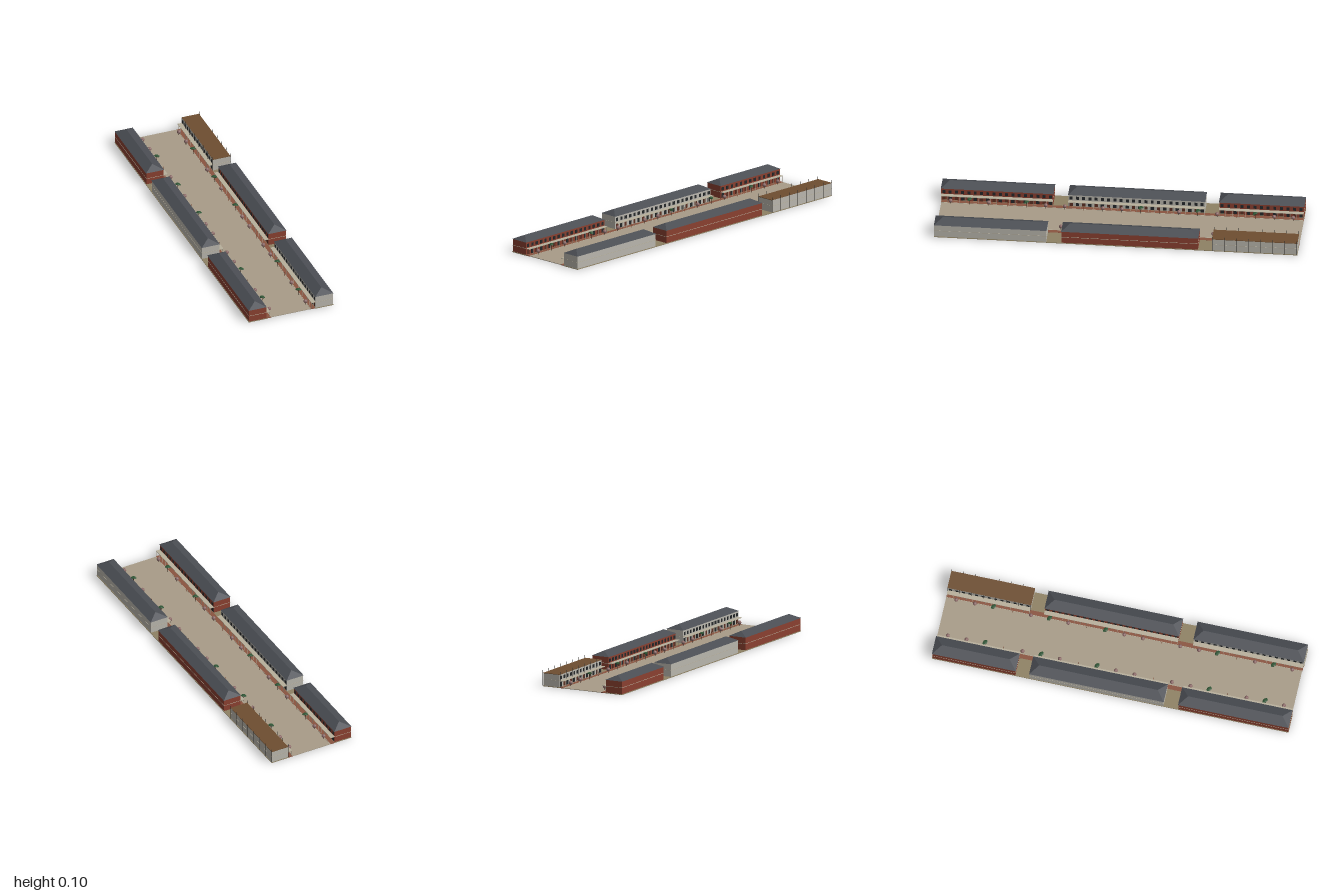
import * as THREE from 'three';

const mat = (color, flatShading = false) =>
  new THREE.MeshStandardMaterial({ color, flatShading, side: THREE.DoubleSide });
const M = {
  brick: mat(0x8a4030), stucco: mat(0xb9b6ad), slate: mat(0x4a4d53, true), deck: mat(0x6e4e31),
  road: mat(0xa89c88), lot: mat(0x8f8264), paving: mat(0x8a5440), trim: mat(0xb8b09c),
  dark: mat(0x25282a), door: mat(0x5c3023), pole: mat(0x3c3a36), bark: mat(0x3d2a1e),
  blossom: mat(0x8c6a68, true), leaf: mat(0x2f5535, true), sapling: mat(0x8a5038)
};
const STEP = 0.035;         // facade bay
const CX = 0.1958;          // building centre line
const HALF = 0.0505, EAVE = 0.0535;
const GROUND = 0.004, FLOOR = 0.04, TOP = 0.075, RIDGE = 0.1;

// Box given by its limits
function box(parent, name, material, x0, x1, y0, y1, z0, z1) {
  const m = new THREE.Mesh(new THREE.BoxGeometry(x1 - x0, y1 - y0, z1 - z0), material);
  m.position.set((x0 + x1) / 2, (y0 + y1) / 2, (z0 + z1) / 2);
  m.name = name;
  parent.add(m);
  return m;
}

function post(parent, name, material, x, z, y0, y1, r) {
  const m = new THREE.Mesh(new THREE.CylinderGeometry(r, r, y1 - y0, 6), material);
  m.position.set(x, (y0 + y1) / 2, z);
  m.name = name;
  parent.add(m);
}

// Hipped roof: a box whose top corners are pulled in to a ridge
function hipRoof(parent, z0, z1) {
  const g = new THREE.BoxGeometry(2 * EAVE, RIDGE - TOP, z1 - z0);
  const p = g.attributes.position;
  for (let i = 0; i < p.count; i++) {
    if (p.getY(i) > 0) {
      p.setX(i, 0);
      p.setZ(i, p.getZ(i) - Math.sign(p.getZ(i)) * 0.045);
    }
  }
  g.computeVertexNormals();
  const m = new THREE.Mesh(g, M.slate);
  m.position.set(CX, (TOP + RIDGE) / 2, (z0 + z1) / 2);
  m.name = 'hipRoof';
  parent.add(m);
}

// Terrace on the +x side, street facade towards x = 0; s mirrors it
function terrace(s, z0, z1, wall, unfinished) {
  const g = new THREE.Group();
  g.name = unfinished ? 'unfinishedTerrace' : 'terrace';
  const inner = CX - HALF, outer = CX + HALF, e = 0.002;
  box(g, 'walls', wall, inner, outer, GROUND, TOP, z0 + e, z1 - e);
  box(g, 'stringCourse', M.trim, inner - 0.001, outer + 0.001, FLOOR - 0.001, FLOOR + 0.001, z0 + 0.001, z1 - 0.001);

  // Arcade canopy with slender posts
  box(g, 'canopy', M.trim, 0.121, inner, FLOOR - 0.0015, FLOOR + 0.001, z0 + e, z1 - e);
  const n = Math.round((z1 - z0) / STEP), d = (z1 - z0) / n;
  for (let i = 0; i < n; i++) {
    const z = z0 + (i + 0.5) * d;
    box(g, 'window', M.dark, inner - 0.0018, inner, 0.047, 0.065, z - 0.008, z + 0.008);
    box(g, 'door', i % 2 ? M.door : M.dark, inner - 0.0015, inner, 0.006, 0.031, z - 0.009, z + 0.009);
  }
  for (let i = 0; i <= n; i++) {
    const z = z0 + 0.004 + i * (z1 - z0 - 0.008) / n;
    post(g, 'canopyPost', M.trim, 0.124, z, GROUND, FLOOR, 0.0009);
  }

  if (unfinished) {
    box(g, 'openDeck', M.deck, inner, outer + 0.001, TOP - 0.002, TOP + 0.0005, z0, z1);
    // Scaffold along both long sides
    for (let i = 0; i < 8; i++) {
      const z = z0 + 0.002 + i * (z1 - z0 - 0.004) / 7;
      for (const x of [0.141, 0.2502]) post(g, 'scaffoldPole', M.pole, x, z, GROUND, 0.09, 0.0012);
    }
  } else {
    hipRoof(g, z0, z1);
  }
  g.scale.x = s;
  return g;
}

// Street trees: round blossom, spreading green crown, or bare sapling
function tree(kind, x, z) {
  const g = new THREE.Group();
  g.name = kind + 'Tree';
  if (kind === 'sapling') {
    post(g, 'stem', M.sapling, 0, 0, GROUND, 0.03, 0.0014);
  } else if (kind === 'blossom') {
    post(g, 'trunk', M.bark, 0, 0, GROUND, 0.02, 0.0014);
    const crown = new THREE.Mesh(new THREE.IcosahedronGeometry(0.011, 1), M.blossom);
    crown.position.y = 0.024;
    crown.name = 'crown';
    g.add(crown);
  } else {
    post(g, 'trunk', M.bark, 0, 0, GROUND, 0.038, 0.0014);
    for (const [cx, cy, cz, r] of [[0, 0.041, 0, 0.012], [0.007, 0.037, 0.004, 0.009], [-0.006, 0.037, -0.005, 0.009]]) {
      const crown = new THREE.Mesh(new THREE.IcosahedronGeometry(r, 1), M.leaf);
      crown.scale.y = 0.3;
      crown.position.set(cx, cy, cz);
      crown.name = 'crown';
      g.add(crown);
    }
  }
  g.position.set(x, 0, z);
  return g;
}

export function createModel() {
  const root = new THREE.Group();
  root.name = 'street';
  const model = new THREE.Group();
  model.name = 'streetBlock';
  model.position.x = -0.001;
  root.add(model);

  // Ground
  box(model, 'road', M.road, -0.117, 0.117, 0, GROUND - 0.001, -1, 0.995);
  for (const s of [-1, 1]) {
    const side = new THREE.Group();
    side.name = 'sidewalkSide';
    box(side, 'lot', M.lot, 0.143, 0.249, 0, GROUND - 0.0005, -1, 1);
    box(side, 'sidewalk', M.paving, 0.117, 0.143, 0, GROUND, -1, 0.997);
    box(side, 'kerb', M.trim, 0.116, 0.118, GROUND - 0.001, GROUND + 0.0005, -1, 0.997);
    side.scale.x = s;
    model.add(side);
  }

  // Terraces alternate in brick and stucco
  const spans = [[0.38, 1], [-0.455, 0.3], [-1, -0.53]];
  spans.forEach(([z0, z1], i) => {
    model.add(terrace(-1, z0, z1, i % 2 ? M.stucco : M.brick, false));
    model.add(terrace(1, z0, z1, i % 2 ? M.brick : M.stucco, i === 2));
  });

  // Tree rows: b = blossom, g = green, s = sapling
  const kinds = { b: 'blossom', g: 'green', s: 'sapling' };
  [...'bbgsbgbsgbbsbbgsbgb'].forEach((k, i) => {
    const z = -0.942 + i * 0.1047;
    for (const s of [-1, 1]) model.add(tree(kinds[k], s * 0.107, z));
  });
  return root;
}
